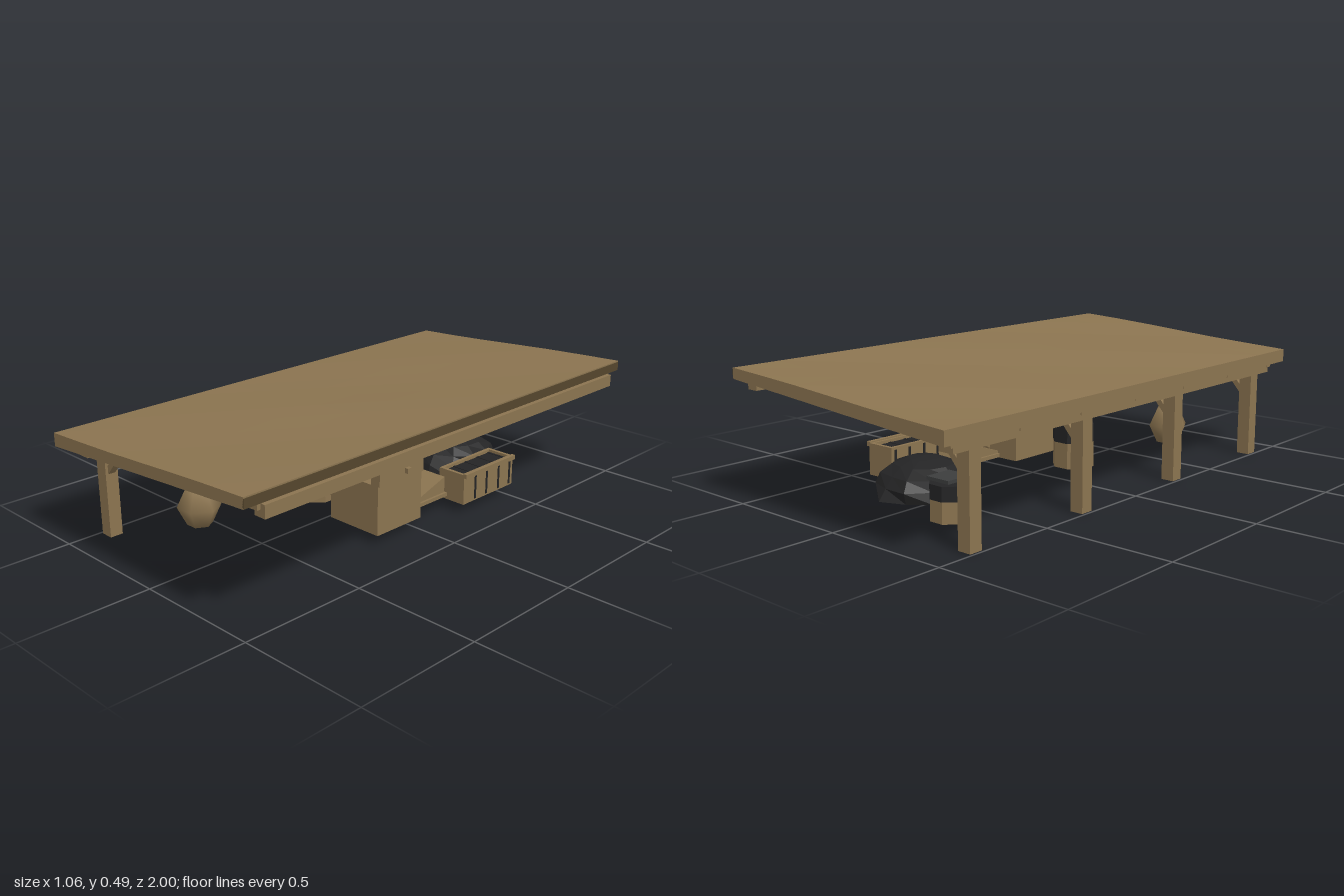
import * as THREE from 'three';

const mat = (name, color) => {
  const m = new THREE.MeshStandardMaterial({ color, flatShading: true });
  m.name = name;
  return m;
};

export function createModel() {
  const wood = mat('wood', 0x8b7450);
  const smoothWood = wood.clone();
  smoothWood.flatShading = false;
  const shadeWood = mat('dark wood', 0x54452c);
  const coal = mat('coal', 0x242425);
  const iron = mat('iron', 0x3c3d3d);
  const root = new THREE.Group();

  const add = (name, geo, material, x = 0, y = 0, z = 0) => {
    const m = new THREE.Mesh(geo, material);
    m.name = name;
    m.position.set(x, y, z);
    root.add(m);
    return m;
  };
  // box given by its limits on each axis
  const box = (name, material, x0, x1, y0, y1, z0, z1) =>
    add(name, new THREE.BoxGeometry(x1 - x0, y1 - y0, z1 - z0), material,
      (x0 + x1) / 2, (y0 + y1) / 2, (z0 + z1) / 2);
  // side profile of [z, y] points pushed along x
  const sidePart = (name, material, pts, x0, x1) => {
    const s = new THREE.Shape(pts.map(([z, y]) => new THREE.Vector2(-z, y)));
    const g = new THREE.ExtrudeGeometry(s, { depth: x1 - x0, bevelEnabled: false });
    return add(name, g.rotateY(Math.PI / 2), material, x0, 0, 0);
  };
  // front profile of [x, y] points pushed along z
  const frontPart = (name, material, pts, z, w) => {
    const s = new THREE.Shape(pts.map(([x, y]) => new THREE.Vector2(x, y)));
    const g = new THREE.ExtrudeGeometry(s, { depth: w, bevelEnabled: false });
    return add(name, g, material, 0, 0, z - w / 2);
  };

  // sloping roof slab with a slightly uneven top
  const under = (x) => 0.375 + 0.0727 * (x + 0.53);
  const roof = new THREE.BoxGeometry(1.045, 0.05, 2, 6, 1, 10);
  roof.translate(-0.0075, 0, 0);
  const rp = roof.attributes.position;
  for (let i = 0; i < rp.count; i++) {
    const x = rp.getX(i), z = rp.getZ(i);
    const wave = 0.006 * Math.sin(z * 6 + x * 4) * Math.cos(x * 3);
    rp.setY(i, rp.getY(i) > 0 ? 0.426 + 0.0622 * (x + 0.53) + wave * (1 - 0.4 * Math.abs(z)) : under(x));
  }
  roof.computeVertexNormals();
  add('roof', roof, wood);
  box('roofEndBoard', shadeWood, 0.513, 0.517, 0.452, 0.486, -1, 1);

  // rafters under the roof
  for (let i = -3; i <= 3; i++) {
    frontPart('rafter', wood, [[-0.5, under(-0.5) - 0.022], [0.51, under(0.51) - 0.022],
      [0.51, under(0.51) + 0.004], [-0.5, under(-0.5) + 0.004]], i * 0.31, 0.026);
  }

  // long beams, posts and braces
  box('postBeam', wood, -0.497, -0.435, 0.335, 0.378, -0.93, 0.93);
  box('openSideBeam', wood, 0.482, 0.53, 0.402, 0.449, -0.93, 0.93);
  for (const z of [0.835, 0.28, -0.275, -0.83]) {
    box('post', wood, -0.49, -0.437, 0, 0.36, z - 0.026, z + 0.026);
    frontPart('brace', wood, [[-0.437, 0.25], [-0.33, 0.372], [-0.36, 0.372], [-0.437, 0.283]], z, 0.03);
  }

  // forge with back plate, air pipe and coal bed
  box('forgeBase', wood, 0.07, 0.314, 0.037, 0.23, -0.02, 0.215);
  box('forgeBackPlate', wood, 0.28, 0.323, 0.23, 0.37, -0.02, 0.215);
  box('airPipe', wood, 0.235, 0.338, 0.25, 0.27, 0.06, 0.082);
  const bed = new THREE.SphereGeometry(1, 10, 4, 0, Math.PI * 2, 0, Math.PI / 2);
  add('coalBed', bed, coal, 0.185, 0.229, 0.097).scale.set(0.095, 0.032, 0.1);
  add('hearthCap', bed.clone(), wood, 0.185, 0.254, 0.097).scale.set(0.055, 0.012, 0.055);

  // bellows behind the forge
  sidePart('bellowsBody', wood, [[-0.05, 0.065], [-0.22, 0.065], [-0.22, 0.13], [-0.05, 0.075]], 0.14, 0.26);
  box('bellowsBoard', wood, 0.13, 0.27, 0.05, 0.065, -0.23, -0.05);
  sidePart('bellowsHandle', wood, [[-0.018, 0.19], [-0.018, 0.165], [-0.05, 0.078], [-0.062, 0.085]], 0.185, 0.215);

  // water trough with iron straps
  const [tx0, tx1, tz0, tz1] = [0.23, 0.354, -0.53, -0.225];
  box('troughFloor', wood, tx0, tx1, 0.037, 0.05, tz0, tz1);
  box('troughWall', wood, tx0, tx0 + 0.014, 0.04, 0.16, tz0, tz1);
  box('troughWall', wood, tx1 - 0.014, tx1, 0.04, 0.16, tz0, tz1);
  box('troughEnd', wood, tx0, tx1, 0.04, 0.16, tz0, tz0 + 0.014);
  box('troughEnd', wood, tx0, tx1, 0.04, 0.16, tz1 - 0.014, tz1);
  box('troughWater', coal, tx0 + 0.01, tx1 - 0.01, 0.05, 0.148, tz0 + 0.01, tz1 - 0.01);
  for (const z of [-0.295, -0.365, -0.44, -0.51]) {
    box('troughStrap', coal, tx0 - 0.002, tx1 + 0.002, 0.045, 0.15, z - 0.005, z + 0.005);
  }
  box('troughLip', wood, 0.35, 0.366, 0.147, 0.165, tz0, tz1);

  // heap of coal
  const heap = new THREE.SphereGeometry(1, 11, 5, 0, Math.PI * 2, 0, Math.PI / 2);
  const hp = heap.attributes.position;
  for (let i = 0; i < hp.count; i++) {
    const x = hp.getX(i), y = hp.getY(i), z = hp.getZ(i);
    const k = 1 + 0.09 * Math.sin(5 * x + 3 * z) * Math.cos(4 * z - 6 * y);
    hp.setXYZ(i, x * k * 0.18, y * (0.9 + 0.1 * k) * 0.135, z * k * 0.19);
  }
  heap.computeVertexNormals();
  add('coalHeap', heap, coal, 0.03, 0.037, -0.55);
  add('coalHeapBottom', new THREE.CircleGeometry(0.175, 11).rotateX(Math.PI / 2), coal, 0.03, 0.039, -0.55);

  // tub and stump share an eight-sided shape with a dark upper band
  const stave = (name, x, z, r, yBand, yTop) => {
    add(name, new THREE.CylinderGeometry(r * 0.98, r, yBand - 0.035, 8).rotateY(Math.PI / 8), wood,
      x, (yBand + 0.035) / 2, z);
    add(name + 'Band', new THREE.CylinderGeometry(r, r, yTop - yBand, 8).rotateY(Math.PI / 8), coal,
      x, (yTop + yBand) / 2, z);
  };
  stave('tub', -0.26, -0.71, 0.075, 0.11, 0.163);
  add('tubStem', new THREE.CylinderGeometry(0.012, 0.012, 0.02, 6), iron, -0.26, 0.168, -0.71);
  box('tubLid', iron, -0.31, -0.21, 0.172, 0.184, -0.77, -0.665);

  // anvil on its stump, with a hammer
  stave('stump', -0.124, 0.1, 0.083, 0.135, 0.203);
  box('anvilWaist', iron, -0.165, -0.08, 0.2, 0.237, 0.06, 0.14);
  box('anvilTop', iron, -0.2, -0.045, 0.235, 0.275, 0.05, 0.15);
  const horn = add('anvilHorn', new THREE.ConeGeometry(0.03, 0.06, 8), iron, -0.124, 0.25, 0.18);
  horn.rotation.x = Math.PI / 2;
  box('hammerHead', iron, -0.153, -0.122, 0.272, 0.289, 0.075, 0.125);
  box('hammerHandle', wood, -0.125, -0.005, 0.276, 0.286, 0.094, 0.106);

  // six-sided pot
  const profile = [[0, 0.05], [0.048, 0.05], [0.083, 0.122], [0.048, 0.193], [0, 0.193]]
    .map(([r, y]) => new THREE.Vector2(r, y));
  add('pot', new THREE.LatheGeometry(profile, 6).rotateY(Math.PI / 6), smoothWood, -0.215, 0, 0.615);

  return root;
}
